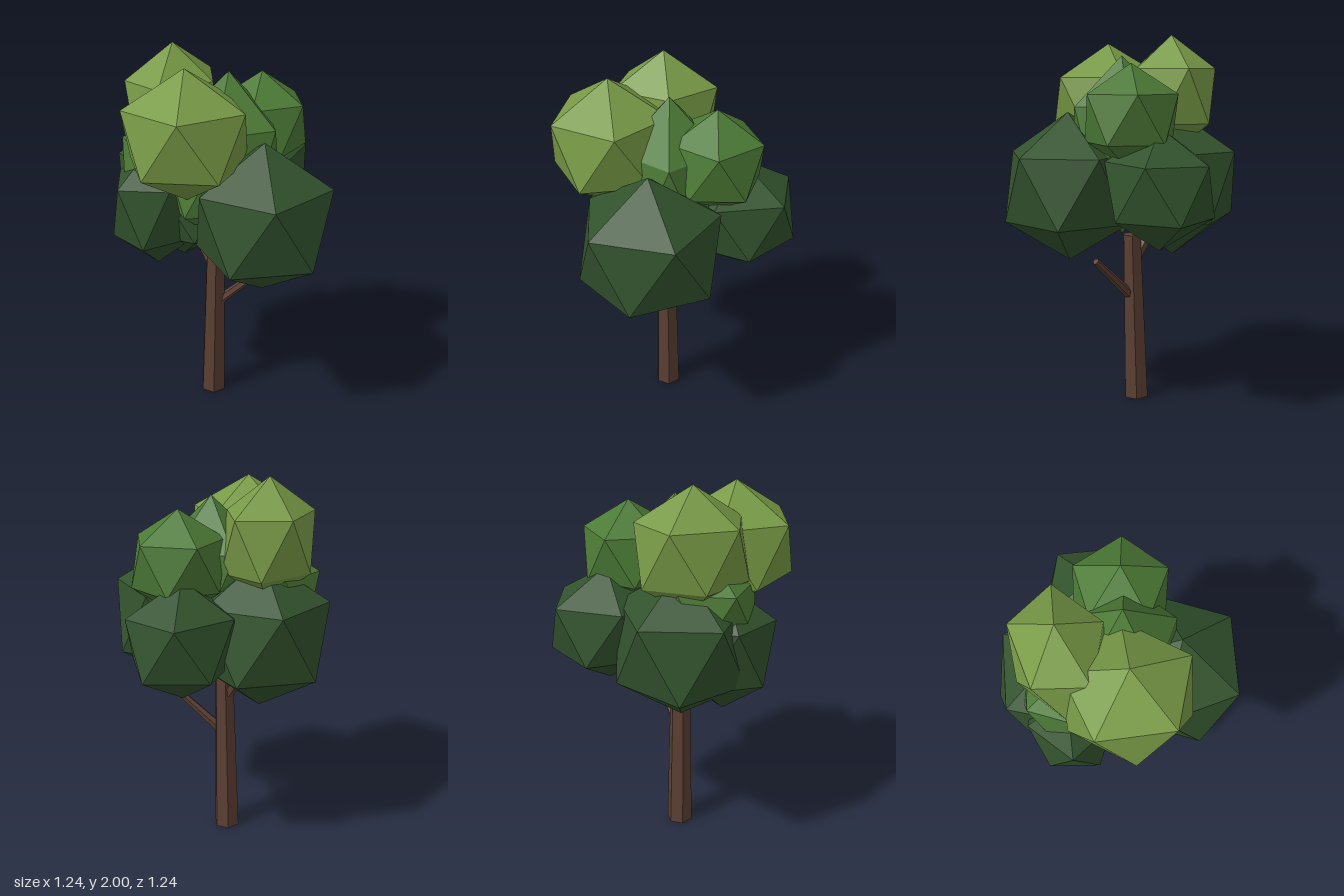
import * as THREE from 'three';

const flat = (name, color) => {
  const m = new THREE.MeshStandardMaterial({ color, flatShading: true });
  m.name = name;
  return m;
};

export function createModel() {
  const bark = flat('bark brown', 0x5c4033);
  const dark = flat('dark leaf green', 0x32522d);
  const mid = flat('mid leaf green', 0x4c7a36);
  const light = flat('light leaf green', 0x789a46);

  const tree = new THREE.Group();
  tree.name = 'tree';

  // Tapered six-sided limb between two points
  const limb = (name, from, to, r0, r1) => {
    const a = new THREE.Vector3(...from), b = new THREE.Vector3(...to);
    const dir = b.clone().sub(a);
    const g = new THREE.CylinderGeometry(r1, r0, dir.length(), 6);
    g.rotateY(THREE.MathUtils.degToRad(35));
    const mesh = new THREE.Mesh(g, bark);
    mesh.name = name;
    mesh.position.copy(a).add(b).multiplyScalar(0.5);
    mesh.quaternion.setFromUnitVectors(new THREE.Vector3(0, 1, 0), dir.normalize());
    tree.add(mesh);
  };

  limb('trunk', [-0.066, 0.003, 0.046], [-0.04, 0.935, 0.05], 0.072, 0.053);
  limb('leftBranch', [-0.02, 0.6, 0.04], [0.22, 0.83, -0.05], 0.028, 0.018);
  limb('rightBranch', [-0.03, 0.76, 0.045], [-0.22, 1.05, 0.035], 0.034, 0.024);

  // Leaf clump: icosahedron standing on a corner; yaw (degrees from +x toward +z)
  // is the direction of one corner of its upper ring
  const clump = (name, material, centre, radii, yaw) => {
    const g = new THREE.IcosahedronGeometry(1, 0);
    g.rotateZ(Math.atan(2 / (1 + Math.sqrt(5))));
    g.rotateY(THREE.MathUtils.degToRad(180 - yaw));
    g.scale(...radii);
    const mesh = new THREE.Mesh(g, material);
    mesh.name = name;
    mesh.position.set(...centre);
    tree.add(mesh);
  };

  // Lower canopy
  clump('leftLowerClump', dark, [0.295, 1.205, 0.13], [0.378, 0.395, 0.395], -22);
  clump('rightLowerClump', dark, [-0.27, 1.21, 0.015], [0.39, 0.4, 0.375], 155);
  clump('frontLowerClump', dark, [-0.295, 1.18, 0.225], [0.24, 0.34, 0.285], 103);
  clump('backLowerClump', dark, [-0.01, 1.23, -0.325], [0.3, 0.31, 0.335], 243);

  // Middle canopy
  clump('centreClump', mid, [0.03, 1.42, 0.03], [0.3, 0.47, 0.29], 0);
  clump('backMiddleClump', mid, [0.087, 1.58, -0.198], [0.265, 0.27, 0.262], 0);
  clump('rightMiddleClump', mid, [-0.27, 1.4, 0.15], [0.265, 0.26, 0.26], 159);
  clump('frontMiddleClump', mid, [-0.04, 1.28, 0.2], [0.15, 0.18, 0.15], 54);

  // Crown
  clump('tallCrownClump', light, [-0.28, 1.68, 0.062], [0.248, 0.32, 0.31], -6);
  clump('frontCrownClump', light, [-0.028, 1.63, 0.325], [0.345, 0.327, 0.333], -9);

  return tree;
}
